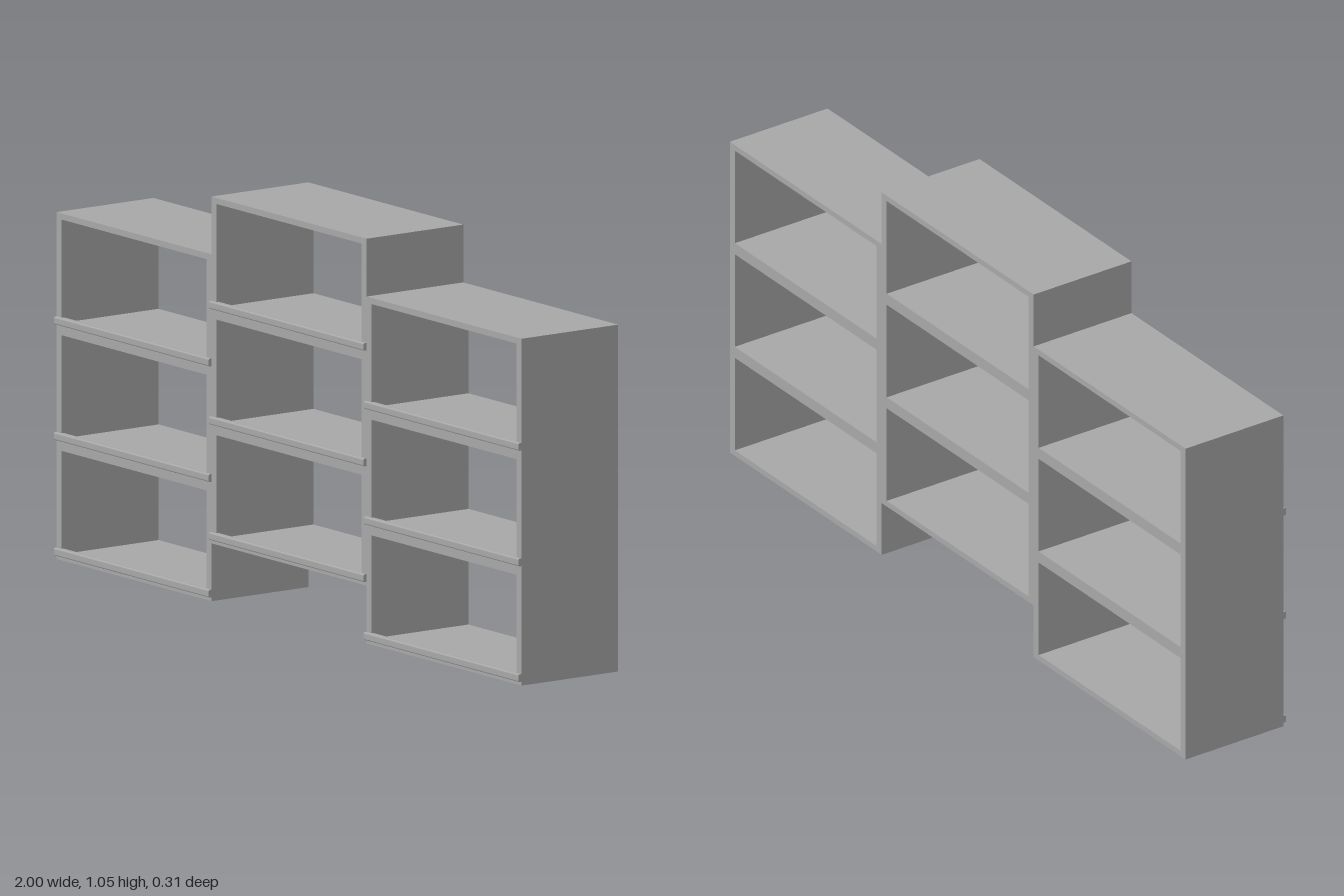
import * as THREE from 'three';

const grey = new THREE.MeshStandardMaterial({ color: 0xa8a8a8 });
grey.name = 'grey';

const WIDTH = 2 / 3, CELL = 0.3, HEIGHT = 3 * CELL;
const WALL = 0.022, PANEL = 0.016;
const BACK = -0.156, FRONT = 0.149;

// Box given by its centre x, bottom y and size, running from back to front
function board(name, x, y, w, h) {
  const mesh = new THREE.Mesh(new THREE.BoxGeometry(w, h, FRONT - BACK), grey);
  mesh.name = name;
  mesh.position.set(x, y + h / 2, (FRONT + BACK) / 2);
  return mesh;
}

// Lip with softened edges, centred on its length along x
function frontLip(y) {
  const s = new THREE.Shape();
  const z = 0.009, h = 0.01, c = 0.004;
  s.moveTo(-z + c, -h);
  s.lineTo(z - c, -h);
  s.quadraticCurveTo(z, -h, z, -h + c);
  s.lineTo(z, h - c);
  s.quadraticCurveTo(z, h, z - c, h);
  s.lineTo(-z + c, h);
  s.quadraticCurveTo(-z, h, -z, h - c);
  s.lineTo(-z, -h + c);
  s.quadraticCurveTo(-z, -h, -z + c, -h);
  const geo = new THREE.ExtrudeGeometry(s, { depth: WIDTH, bevelEnabled: false, curveSegments: 4 });
  geo.translate(0, 0, -WIDTH / 2).rotateY(-Math.PI / 2);
  const mesh = new THREE.Mesh(geo, grey);
  mesh.name = 'frontLip';
  mesh.position.set(0, y, 0.149);
  return mesh;
}

// Open unit of three stacked compartments
function shelfUnit(name) {
  const unit = new THREE.Group();
  unit.name = name;
  const inner = WIDTH - 2 * WALL;
  for (const side of [-1, 1]) {
    unit.add(board('sideWall', side * (WIDTH - WALL) / 2, 0, WALL, HEIGHT));
  }
  unit.add(board('bottomPanel', 0, 0, inner, PANEL));
  unit.add(board('topPanel', 0, HEIGHT - PANEL, inner, PANEL));
  for (let i = 1; i < 3; i++) {
    unit.add(board('shelf', 0, i * CELL - PANEL, inner, 2 * PANEL));
  }
  for (let i = 0; i < 3; i++) unit.add(frontLip(i * CELL + 0.02));
  return unit;
}

export function createModel() {
  const model = new THREE.Group();
  model.name = 'steppedShelves';
  // The middle unit is raised by half a compartment
  [['rightUnit', -1, 0], ['middleUnit', 0, CELL / 2], ['leftUnit', 1, 0]].forEach(([name, column, y]) => {
    const unit = shelfUnit(name);
    unit.position.set(column * WIDTH, y, 0);
    model.add(unit);
  });
  return model;
}
